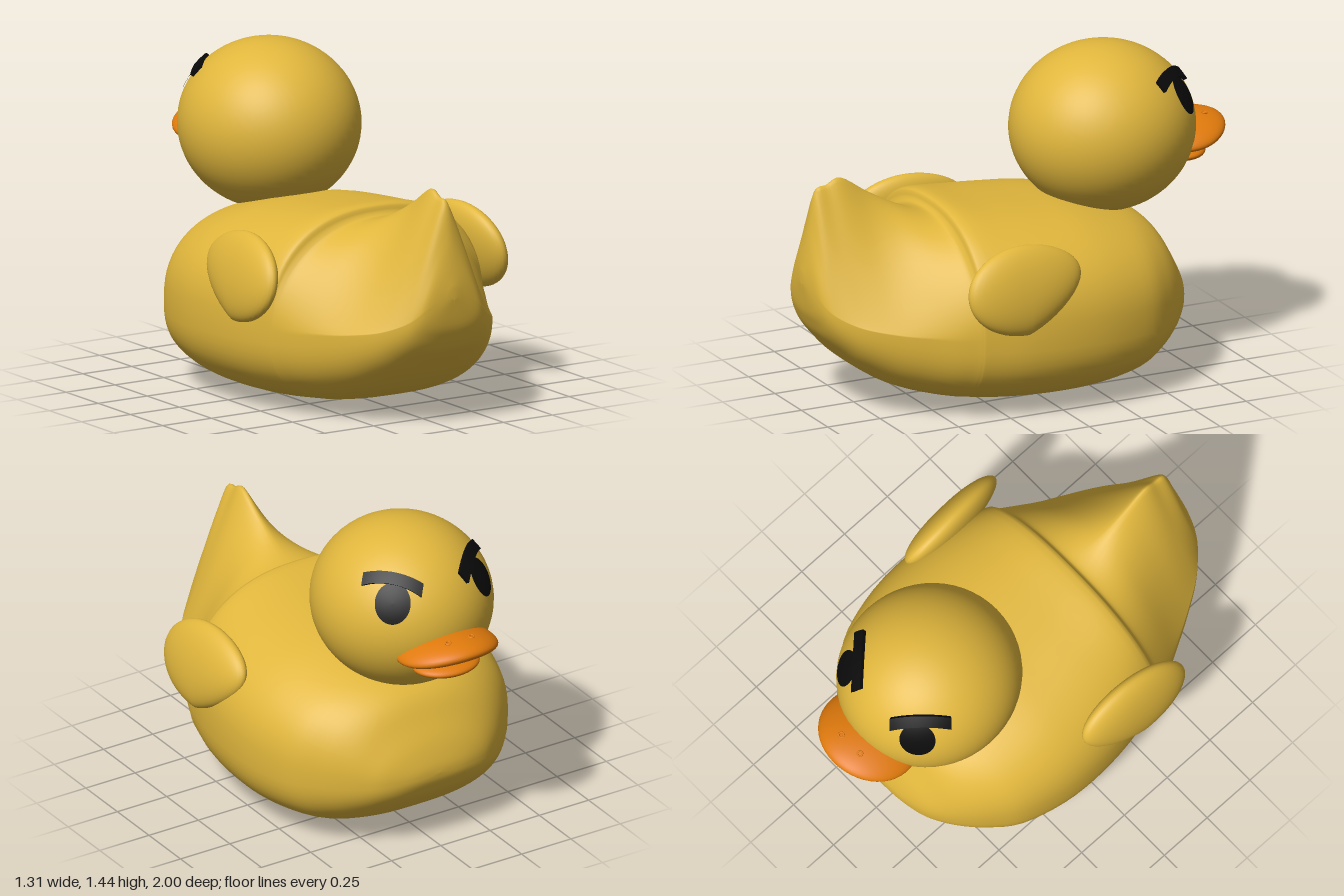
import * as THREE from 'three';
import { mergeVertices } from 'three/addons/utils/BufferGeometryUtils.js';

const mat = (name, color) => {
  const m = new THREE.MeshStandardMaterial({ color });
  m.name = name;
  return m;
};

// Move every vertex by a rule, then rebuild smooth normals without seams
function deform(geo, rule, weld = true) {
  const p = geo.attributes.position, v = new THREE.Vector3();
  for (let i = 0; i < p.count; i++) {
    v.fromBufferAttribute(p, i);
    rule(v);
    p.setXYZ(i, v.x, v.y, v.z);
  }
  geo.deleteAttribute('uv');
  if (weld) {
    geo.deleteAttribute('normal');
    geo = mergeVertices(geo, 1e-5);
  }
  geo.computeVertexNormals();
  return geo;
}

// Body sections from tail to chest:
// z, bottom, top, height of widest point, half width, roundness of the upper half
const SECTIONS = [
  [1.0, 0.57, 0.62, 0.59, 0.02, 1.8],
  [0.985, 0.46, 0.72, 0.54, 0.12, 1.4],
  [0.965, 0.4, 0.84, 0.5, 0.17, 1.15],
  [0.935, 0.34, 0.98, 0.47, 0.21, 1.0],
  [0.88, 0.275, 1.0, 0.44, 0.265, 0.97],
  [0.815, 0.21, 1.023, 0.42, 0.315, 0.95],
  [0.7, 0.13, 0.95, 0.4, 0.385, 1.05],
  [0.6, 0.085, 0.892, 0.39, 0.44, 1.25],
  [0.5, 0.055, 0.845, 0.38, 0.495, 1.6],
  [0.425, 0.038, 0.825, 0.38, 0.53, 1.95],
  [0.4, 0.034, 0.838, 0.38, 0.542, 2.15],
  [0.37, 0.03, 0.872, 0.38, 0.553, 2.35],
  [0.2, 0.012, 0.85, 0.38, 0.6, 2.4],
  [0.0, 0.005, 0.828, 0.38, 0.624, 2.4],
  [-0.2, 0.012, 0.805, 0.37, 0.614, 2.4],
  [-0.4, 0.042, 0.755, 0.36, 0.56, 2.4],
  [-0.52, 0.09, 0.712, 0.36, 0.48, 2.3],
  [-0.6, 0.143, 0.655, 0.355, 0.405, 2.2],
  [-0.66, 0.195, 0.56, 0.35, 0.33, 2.1],
  [-0.705, 0.25, 0.48, 0.35, 0.25, 2],
  [-0.735, 0.31, 0.4, 0.35, 0.13, 2],
  [-0.742, 0.35, 0.355, 0.352, 0.005, 2],
];

function bodyGeometry() {
  const SUB = 4, N = 72, pos = [], idx = [], rows = [];
  const spline = (a, b, c, d, t) =>
    b + 0.5 * t * (c - a + t * (2 * a - 5 * b + 4 * c - d + t * (3 * (b - c) + d - a)));
  const last = SECTIONS.length - 1;
  for (let i = 0; i <= last * SUB; i++) {
    const k = Math.min(Math.floor(i / SUB), last - 1), t = i / SUB - k;
    const at = (n) => SECTIONS[Math.min(Math.max(n, 0), last)];
    rows.push(at(k).map((_, c) => spline(at(k - 1)[c], at(k)[c], at(k + 1)[c], at(k + 2)[c], t)));
  }
  for (const [z, lo, hi, mid, w, n] of rows) {
    const cap = Math.min(0.028, w * 0.3);
    for (let j = 0; j < N; j++) {
      const a = (j / N) * Math.PI * 2, s = Math.sin(a), c = -Math.cos(a);
      const e = c > 0 ? n : 2.7;
      const as = Math.abs(s) < 1e-6 ? 0 : Math.abs(s), ac = Math.abs(c);
      // the small cap keeps the tail ridge blunt
      const x = (w - cap) * Math.pow(as, 2 / e) + cap * Math.pow(as, 0.6);
      const y = mid + (c > 0 ? hi - mid : lo - mid) * Math.pow(ac, 2 / e);
      pos.push(Math.sign(s) * x, y, z);
    }
  }
  for (let i = 0; i < rows.length - 1; i++)
    for (let j = 0; j < N; j++) {
      const a = i * N + j, b = i * N + ((j + 1) % N), c = a + N, d = b + N;
      idx.push(a, c, b, b, c, d);
    }
  // end caps
  for (let j = 1; j < N - 1; j++) {
    const o = (rows.length - 1) * N;
    idx.push(0, j, j + 1, o, o + j + 1, o + j);
  }
  const g = new THREE.BufferGeometry();
  g.setAttribute('position', new THREE.Float32BufferAttribute(pos, 3));
  g.setIndex(idx);
  g.computeVertexNormals();
  return g;
}

const HEAD = new THREE.Vector3(0, 1.07, -0.44);
const HEAD_R = new THREE.Vector3(0.39, 0.37, 0.405);

// Eye: a disc wrapped onto the head
function eyeGeometry(s) {
  const c = new THREE.Vector3(s * 0.225, 1.23, -0.72);
  const n = c.clone().sub(HEAD).divide(HEAD_R).divide(HEAD_R).normalize();
  const right = new THREE.Vector3(0, 1, 0).cross(n).normalize();
  const up = n.clone().cross(right);
  return deform(new THREE.RingGeometry(0.001, 1, 40, 5), (v) => {
    const q = c.clone().addScaledVector(right, v.x * 0.078).addScaledVector(up, v.y * 0.092);
    q.sub(HEAD).divide(HEAD_R).normalize().multiplyScalar(1.012);
    v.copy(q.multiply(HEAD_R).add(HEAD));
  });
}

// Brow: a slanted bar that follows the curve of the head
function browGeometry(s) {
  return deform(new THREE.BoxGeometry(2, 1, 0.036, 16, 1, 2), (v) => {
    const x = s * 0.19 + 0.088 * v.x - s * 0.73 * v.z;
    const z = -0.667 + s * 0.092 * v.x + 0.69 * v.z;
    const u = x / HEAD_R.x, w = (z - HEAD.z) / HEAD_R.z;
    const q = new THREE.Vector3(u, Math.sqrt(Math.max(0, 1 - u * u - w * w)), w);
    q.multiplyScalar(v.y > 0 ? 1.045 : 0.99);
    v.copy(q.multiply(HEAD_R).add(HEAD));
  }, false);
}

// Wing: an egg-shaped pad leaning in at the top, tapering toward the chest
function wingGeometry(s) {
  return deform(new THREE.SphereGeometry(1, 40, 28), (v) => {
    const front = Math.max(0, -v.z);
    const y = v.y * (1 - 0.25 * front) + 0.25 * front;
    v.set(s * (0.572 - 0.035 * v.y + 0.018 * v.z) + v.x * 0.075, 0.595 + y * 0.19, 0.22 + v.z * 0.275);
  });
}

export function createModel() {
  const yellow = mat('yellow', 0xe0b63c);
  const orange = mat('orange', 0xe07a0c);
  const black = mat('black', 0x0b0b0b);
  const model = new THREE.Group();
  model.name = 'duck';
  const add = (name, geo, material) => {
    const m = new THREE.Mesh(geo, material);
    m.name = name;
    model.add(m);
    return m;
  };

  add('body', bodyGeometry(), yellow);
  add('head', new THREE.SphereGeometry(1, 56, 40).scale(...HEAD_R.toArray()), yellow).position.copy(HEAD);

  // Bill, tilted up at the tip and drooping at the corners
  const upper = deform(new THREE.SphereGeometry(1, 48, 28), (v) => {
    const x = v.x * 0.23;
    v.set(x, 1.015 + v.y * 0.06 - v.z * 0.018 - 0.7 * x * x, -0.79 + v.z * 0.21);
  });
  add('upperBill', upper, orange);
  const lower = new THREE.SphereGeometry(1, 40, 24).scale(0.155, 0.037, 0.125);
  add('lowerBill', lower, orange).position.set(0, 0.912, -0.787);

  for (const [s, side] of [[1, 'left'], [-1, 'right']]) {
    add(side + 'Wing', wingGeometry(s), yellow);
    add(side + 'Eye', eyeGeometry(s), black);
    add(side + 'Brow', browGeometry(s), black);
    const nostril = add(side + 'Nostril', new THREE.TorusGeometry(0.011, 0.004, 8, 20), orange);
    nostril.position.set(s * 0.058, 1.071, -0.9);
    nostril.rotation.x = -Math.PI / 2 - 0.2;
  }

  // Round plug under the belly
  add('plug', new THREE.CylinderGeometry(0.04, 0.04, 0.008, 28), black).position.y = 0.004;
  return model;
}
